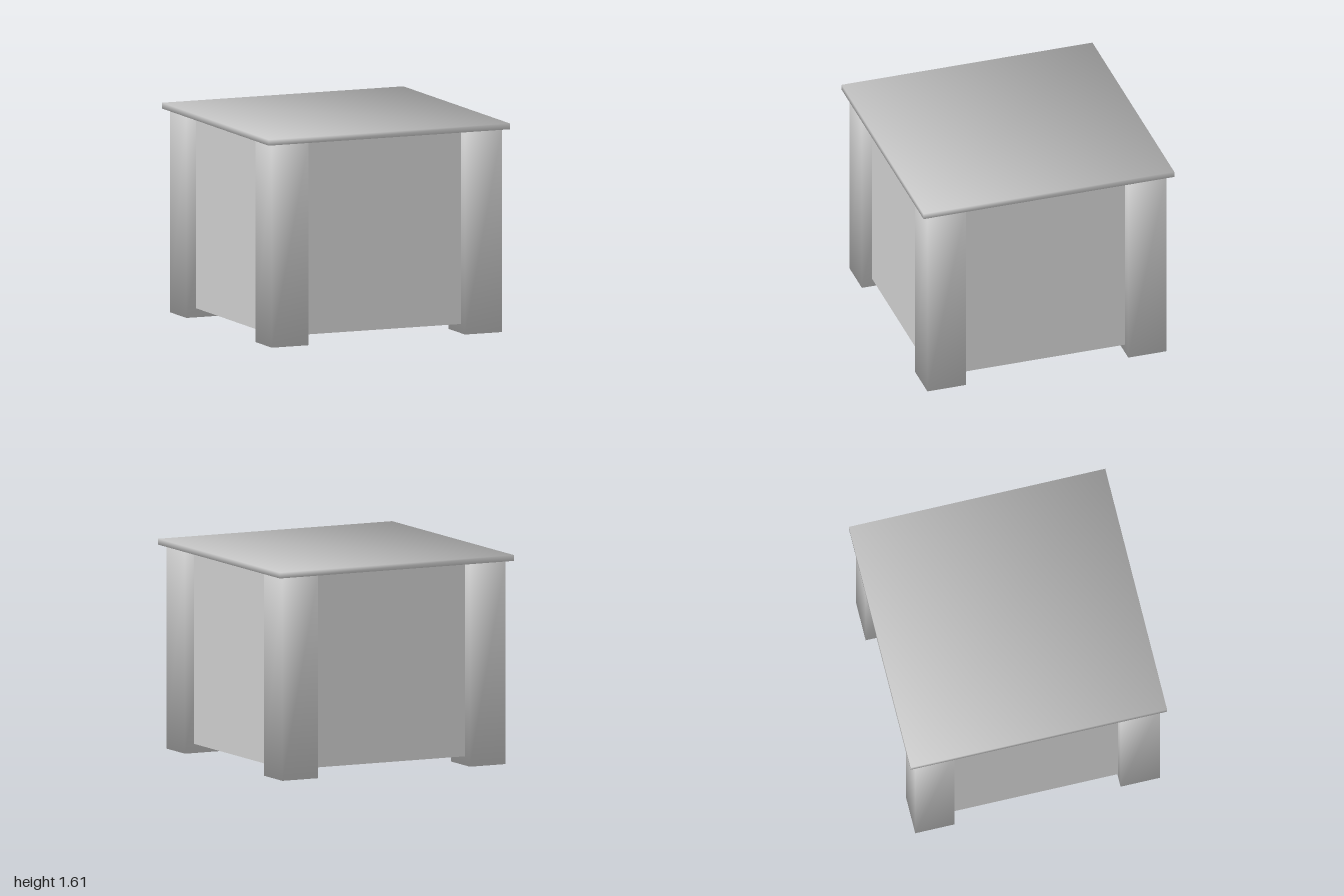
import * as THREE from 'three';

// Box whose corners share one averaged normal, for soft shading across the edges.
function softBox(w, h, d) {
  const g = new THREE.BoxGeometry(d, h, w).rotateY(Math.PI / 2);
  const p = g.attributes.position;
  const k = 1 / Math.sqrt(3);
  for (let i = 0; i < p.count; i++) {
    g.attributes.normal.setXYZ(i, Math.sign(p.getX(i)) * k, Math.sign(p.getY(i)) * k, Math.sign(p.getZ(i)) * k);
  }
  return g;
}

export function createModel() {
  const model = new THREE.Group();
  model.name = 'table';
  const grey = new THREE.MeshStandardMaterial({ color: 0xcccccc });
  grey.name = 'grey';

  const add = (name, geometry, x, y, z) => {
    const mesh = new THREE.Mesh(geometry, grey);
    mesh.name = name;
    mesh.position.set(x, y, z);
    model.add(mesh);
  };

  const legTop = 1.56, bodyBottom = 0.07, topHeight = 1.605;

  // Thin overhanging slab
  add('tableTop', softBox(2, topHeight - legTop, 2), 0, (topHeight + legTop) / 2, 0);

  // Closed cabinet between the legs, inset from their outer faces
  const bodyHeight = legTop - bodyBottom;
  add('body', new THREE.BoxGeometry(1.75, bodyHeight, 1.75), 0, bodyBottom + bodyHeight / 2, 0);

  // Four square corner legs
  const leg = softBox(0.306, legTop, 0.306);
  for (const [zName, z] of [['front', 1], ['back', -1]]) {
    for (const [xName, x] of [['Left', 1], ['Right', -1]]) {
      add(`${zName}${xName}Leg`, leg, x * 0.801, legTop / 2, z * 0.801);
    }
  }
  return model;
}
